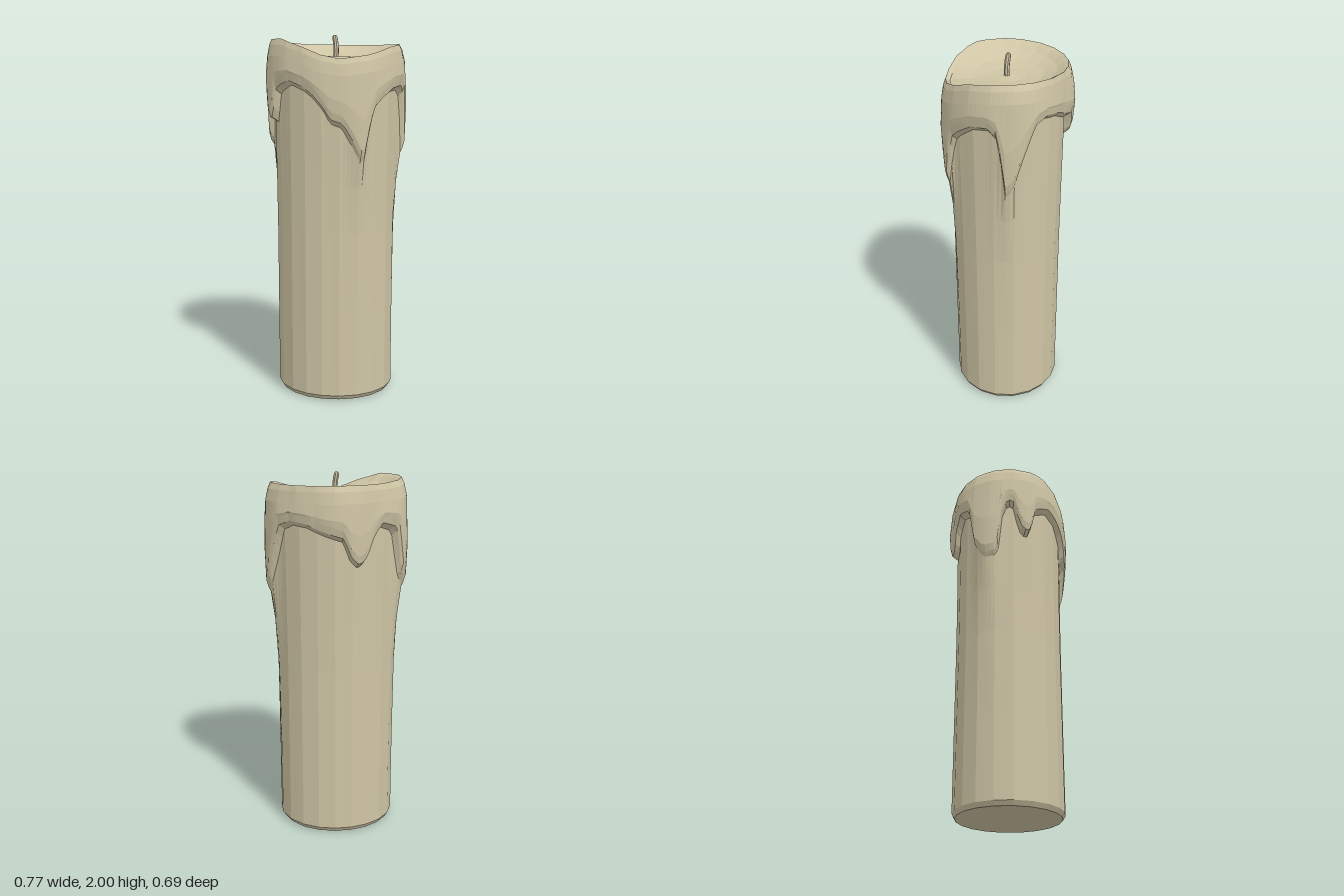
import * as THREE from 'three';

const RAD = Math.PI / 180, SIDES = 20, COLUMNS = 100;

// angle (degrees from the front towards +x) and value pairs, blended around the candle
const RIM = [[0, 1.93], [18, 1.89], [36, 1.87], [63, 1.89], [90, 1.935], [117, 1.95], [180, 1.95],
  [240, 1.955], [270, 1.965], [300, 1.975], [333, 1.975], [360, 1.93]];
const GIRTH = [[0, .34], [30, .35], [45, .363], [60, .37], [78, .374], [90, .38], [106, .391], [120, .4],
  [130, .396], [142, .384], [155, .36], [180, .34], [210, .352], [225, .338], [240, .345], [270, .384],
  [285, .383], [300, .37], [316, .378], [330, .36], [360, .34]];
const DRIP = [[0, 1.74], [10, 1.7], [20, 1.64], [27, 1.57], [38, 1.55], [48, 1.45], [54, 1.37], [58, 1.38],
  [63, 1.55], [68, 1.64], [76, 1.68], [90, 1.73], [105, 1.74], [112, 1.7], [116, 1.55], [119, 1.38],
  [126, 1.45], [135, 1.62], [143, 1.75], [155, 1.78], [170, 1.77], [188, 1.73], [206, 1.7], [213, 1.6],
  [221, 1.56], [229, 1.6], [235, 1.7], [245, 1.77], [262, 1.74], [270, 1.5], [279, 1.42], [291, 1.43],
  [296, 1.73], [305, 1.77], [311, 1.62], [315, 1.57], [322, 1.57], [328, 1.73], [345, 1.77], [360, 1.74]];

function around(table, a) {
  const i = Math.max(1, table.findIndex(p => p[0] >= a));
  const [a0, v0] = table[i - 1], [a1, v1] = table[i];
  return v0 + (v1 - v0) * (a - a0) / (a1 - a0);
}

// outline of one column, from the middle of the base up and over the rim into the bowl
function column(a) {
  const lerp = THREE.MathUtils.lerp;
  const step = 360 / SIDES, facet = Math.cos(step / 2 * RAD) / Math.cos((a % step - step / 2) * RAD);
  const s = Math.sin(a * RAD), c = Math.cos(a * RAD);
  // faceted oval, slightly longer on one diagonal and set towards +x
  const oval = (rx, rz) => facet * (1 - .036 * Math.sin(2 * a * RAD)) / Math.hypot(s / rx, c / rz) + .01 * s;
  const body = oval(.322, .302), edge = oval(.348, .322);
  const lip = around(GIRTH, a), rim = around(RIM, a), drip = around(DRIP, a);
  // wax runs that melt smoothly into the body below the lip
  const run = [[280, 15], [56, 10], [121, 11]]
    .reduce((t, [at, w]) => t + Math.exp(-(((a - at) / w) ** 2)), 0);
  const top = rim - .09, floor = 1.885;
  return [
    [0, 0], [body * .95, .005], [body, .03], [body, .5],
    [lerp(body, lip, run * .07), .95],
    [lerp(body, lip, .03 + run * .25), 1.2],
    [lerp(body, lip, .12 + run * .48), drip - .035],
    [lerp(body, lip, .75), drip - .01],
    [lerp(body, lip, .92), drip + .03],
    [lip, lerp(drip, top, .45)],
    [lerp(edge, lip, .75), top],
    [lerp(edge, lip, .4), rim - .03],
    [edge, rim],
    [edge * .93, rim - .012],
    [edge * .82, lerp(rim, floor, .35) - .01],
    [edge * .6, lerp(rim, floor, .7) - .012],
    [edge * .3, lerp(rim, floor, .93) - .008],
    [0, floor],
  ];
}

function waxGeometry() {
  const pos = [], index = [];
  let rows = 0;
  for (let i = 0; i < COLUMNS; i++) {
    const a = i * 360 / COLUMNS, outline = column(a);
    rows = outline.length;
    outline.forEach(([r, y]) => pos.push(r * Math.sin(a * RAD), y, r * Math.cos(a * RAD)));
  }
  for (let i = 0; i < COLUMNS; i++) {
    for (let j = 0; j < rows - 1; j++) {
      const p = i * rows + j, q = ((i + 1) % COLUMNS) * rows + j;
      if (j > 0) index.push(p, q, q + 1);
      if (j < rows - 2) index.push(p, q + 1, p + 1);
    }
  }
  const g = new THREE.BufferGeometry();
  g.setAttribute('position', new THREE.Float32BufferAttribute(pos, 3));
  g.setIndex(index);
  g.computeVertexNormals();
  return g;
}

export function createModel() {
  const group = new THREE.Group();
  group.name = 'candle';
  const material = new THREE.MeshStandardMaterial({ color: 0xcfc5a5, flatShading: true });
  const add = (name, geometry, parent) => {
    const mesh = new THREE.Mesh(geometry, material);
    mesh.name = name;
    parent.add(mesh);
    return mesh;
  };

  // wax body with dripping collar and melted bowl
  add('waxBody', waxGeometry(), group);

  // bent wick with a rounded tip
  const wick = new THREE.Group();
  wick.name = 'wick';
  group.add(wick);
  const path = new THREE.CatmullRomCurve3([[.012, 1.86, 0], [.014, 1.92, 0], [.01, 1.96, -.002], [.004, 1.985, -.003]]
    .map(p => new THREE.Vector3(...p)));
  add('wickStem', new THREE.TubeGeometry(path, 8, .015, 8), wick);
  add('wickTip', new THREE.SphereGeometry(.015, 8, 6), wick).position.set(.004, 1.985, -.003);
  return group;
}
